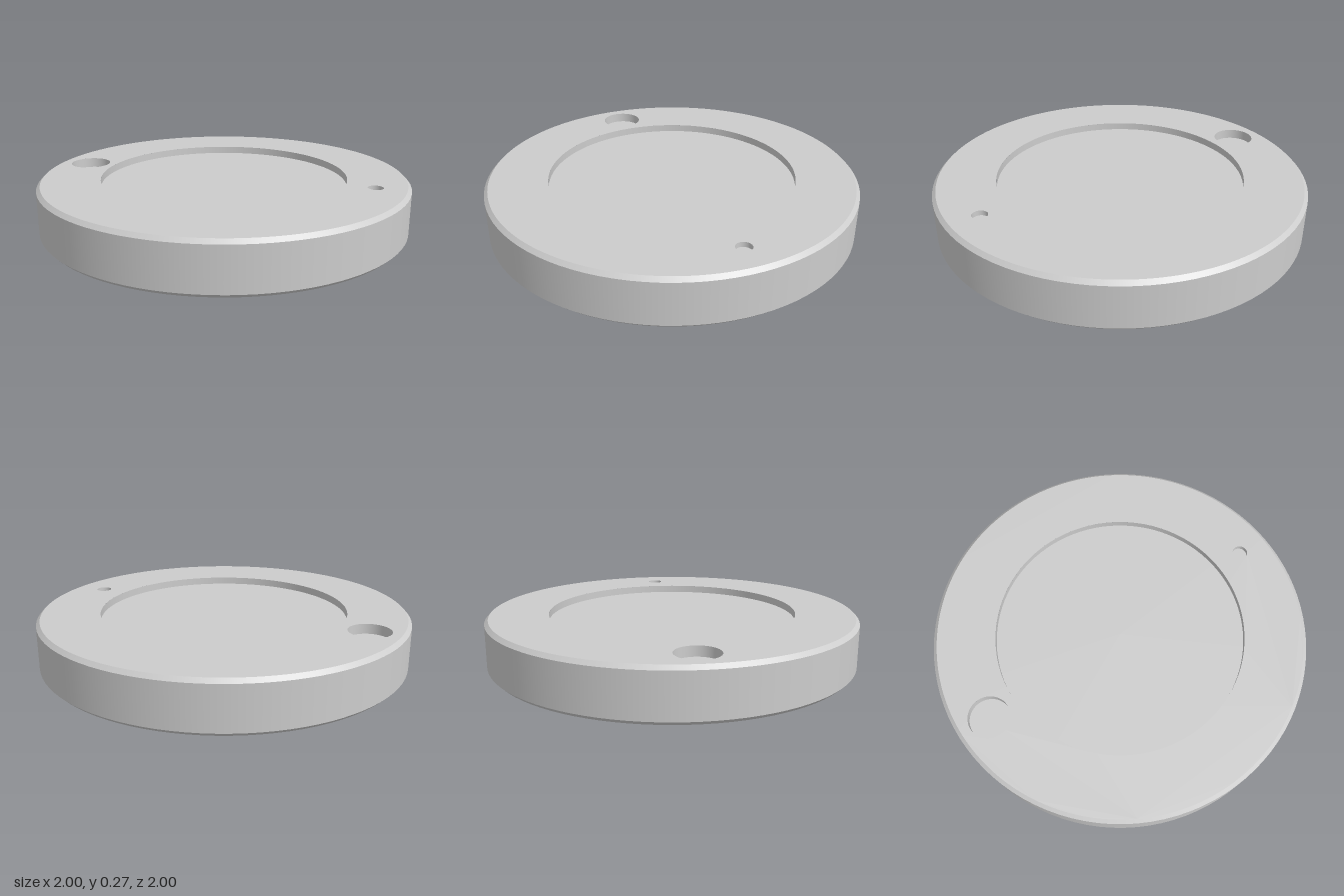
import * as THREE from 'three';
import { mergeGeometries } from 'three/addons/utils/BufferGeometryUtils.js';

const SEGMENTS = 96;
const HEIGHT = 0.267, RADIUS = 1, CHAMFER = 0.02;

// Revolves each profile span on its own, so the edges between spans stay sharp
function revolve(profile) {
  const spans = [];
  for (let i = 0; i < profile.length - 1; i++) {
    const pair = [profile[i], profile[i + 1]].map(([r, y]) => new THREE.Vector2(r, y));
    spans.push(new THREE.LatheGeometry(pair, SEGMENTS));
  }
  return mergeGeometries(spans);
}

export function createModel() {
  const model = new THREE.Group();
  model.name = 'recessedDisc';
  const grey = new THREE.MeshStandardMaterial({ color: 0xcccccc });
  grey.name = 'grey';

  const add = (name, geometry, x = 0) => {
    const mesh = new THREE.Mesh(geometry, grey);
    mesh.name = name;
    mesh.position.x = x;
    model.add(mesh);
    return mesh;
  };

  // Flat underside, chamfers and outer wall
  add('body', revolve([
    [0, 0], [RADIUS - CHAMFER, 0], [RADIUS, CHAMFER],
    [RADIUS, HEIGHT - CHAMFER], [RADIUS - CHAMFER, HEIGHT],
  ]));

  // Round pockets sunk into the top
  const pockets = [
    { name: 'centreRecess', x: 0, radius: 0.667, depth: 0.04 },
    { name: 'largeHole', x: -0.82, radius: 0.11, depth: 0.053 },
    { name: 'smallHole', x: 0.82, radius: 0.041, depth: 0.027 },
  ];

  // Top face with an opening for each pocket
  const top = new THREE.Shape().absarc(0, 0, RADIUS - CHAMFER, 0, Math.PI * 2);
  for (const { name, x, radius, depth } of pockets) {
    top.holes.push(new THREE.Path().absarc(x, 0, radius, 0, Math.PI * 2, true));
    const floor = HEIGHT - depth;
    add(name, revolve([[radius, HEIGHT], [radius, floor], [0, floor]]), x);
  }
  const face = new THREE.ShapeGeometry(top, SEGMENTS).rotateX(-Math.PI / 2);
  add('topFace', face).position.y = HEIGHT;

  return model;
}
